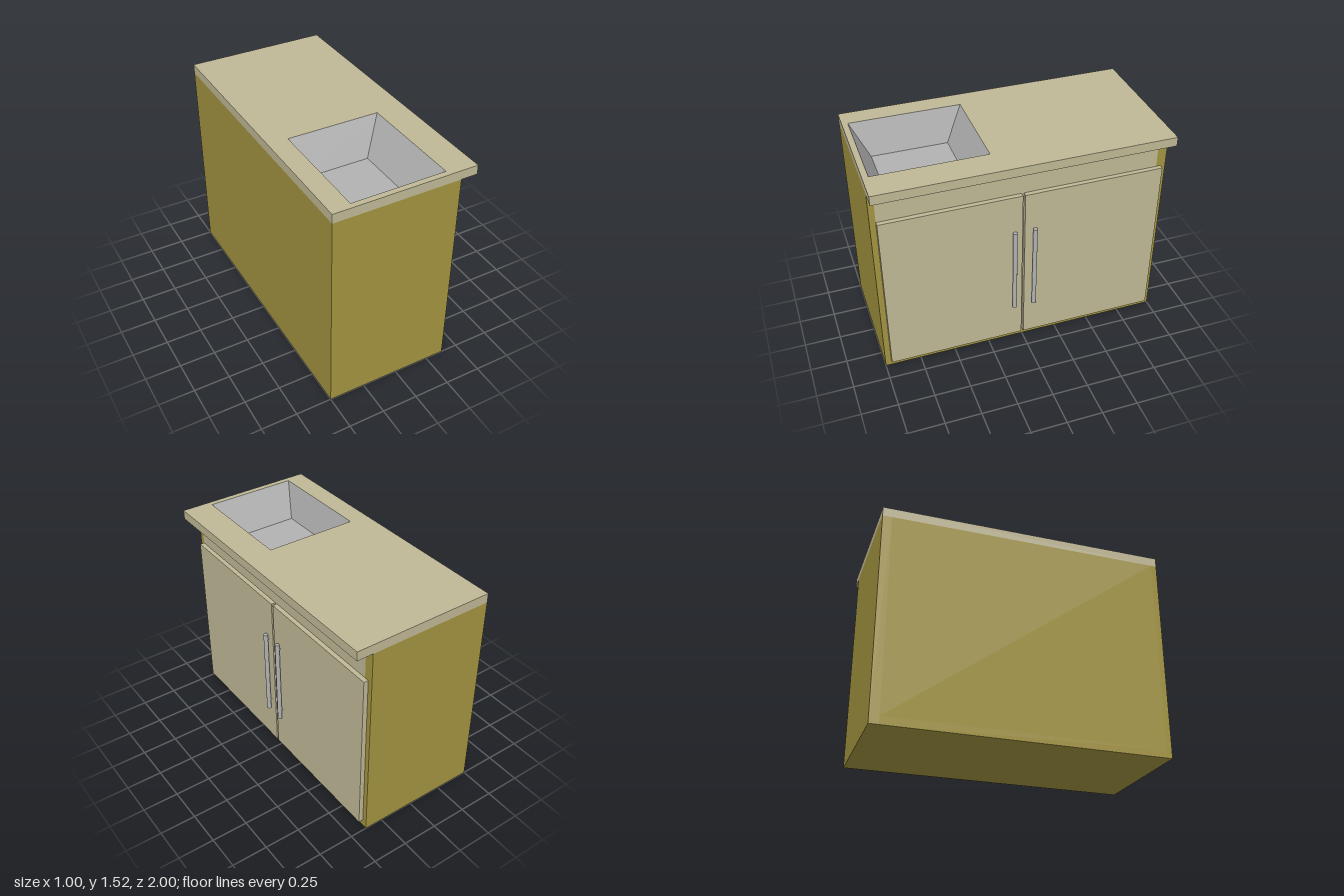
import * as THREE from 'three';

const olive = new THREE.MeshStandardMaterial({ color: 0xa39440 });
const beige = new THREE.MeshStandardMaterial({ color: 0xc0b896 });
const steel = new THREE.MeshStandardMaterial({ color: 0xb2b2b2 });
const basinSteel = new THREE.MeshStandardMaterial({ color: 0xb2b2b2, side: THREE.DoubleSide });

// Box given by its extents on each axis
function box(name, material, [x0, x1], [y0, y1], [z0, z1]) {
  const mesh = new THREE.Mesh(new THREE.BoxGeometry(x1 - x0, y1 - y0, z1 - z0), material);
  mesh.position.set((x0 + x1) / 2, (y0 + y1) / 2, (z0 + z1) / 2);
  mesh.name = name;
  return mesh;
}

// Countertop slab with a rectangular opening
function countertop(opening) {
  const rect = (path, x0, x1, z0, z1) =>
    path.moveTo(x0, -z0).lineTo(x1, -z0).lineTo(x1, -z1).lineTo(x0, -z1).closePath();
  const shape = rect(new THREE.Shape(), -0.5, 0.495, -1, 1);
  shape.holes.push(rect(new THREE.Path(), ...opening));
  const geometry = new THREE.ExtrudeGeometry(shape, { depth: 0.065, bevelEnabled: false });
  geometry.rotateX(-Math.PI / 2);
  const mesh = new THREE.Mesh(geometry, beige);
  mesh.position.y = 1.455;
  mesh.name = 'countertop';
  return mesh;
}

// Tapered basin: four sloping walls and a floor
function sinkBasin(rim, floor, yRim, yFloor) {
  const ring = ([x0, x1, z0, z1], y) => [[x0, y, z0], [x0, y, z1], [x1, y, z1], [x1, y, z0]];
  const top = ring(rim, yRim), low = ring(floor, yFloor);
  const positions = [];
  const quad = (a, b, c, d) => positions.push(...a, ...b, ...c, ...a, ...c, ...d);
  for (let i = 0; i < 4; i++) {
    const j = (i + 1) % 4;
    quad(top[i], low[i], low[j], top[j]);
  }
  quad(...low);
  const geometry = new THREE.BufferGeometry();
  geometry.setAttribute('position', new THREE.Float32BufferAttribute(positions, 3));
  geometry.computeVertexNormals();
  const mesh = new THREE.Mesh(geometry, basinSteel);
  mesh.name = 'sinkBasin';
  return mesh;
}

// Upright bar on two short posts
function doorHandle(name, z) {
  const handle = new THREE.Group();
  handle.name = name;
  const bar = new THREE.Mesh(new THREE.CylinderGeometry(0.015, 0.015, 0.645, 24), steel);
  bar.position.set(0.432, 0.6475, z);
  bar.name = 'handleBar';
  handle.add(bar);
  for (const y of [0.395, 0.93]) {
    const post = new THREE.Mesh(new THREE.CylinderGeometry(0.009, 0.009, 0.022, 16), steel);
    post.rotation.z = Math.PI / 2;
    post.position.set(0.421, y, z);
    post.name = 'handlePost';
    handle.add(post);
  }
  return handle;
}

export function createModel() {
  const model = new THREE.Group();
  model.name = 'sinkCabinet';

  // Carcass panels, open at the top below the counter
  const depth = [-0.5, 0.38], height = [0, 1.455], inner = [-0.935, 0.96];
  model.add(
    box('sidePanelNear', olive, depth, height, [0.96, 1]),
    box('sidePanelFar', olive, depth, height, [-1, -0.935]),
    box('basePanel', olive, depth, [0, 0.055], inner),
    box('rearPanel', olive, [-0.5, -0.46], [0.055, 1.455], inner),
    box('facePanel', beige, [0.34, 0.38], [0.055, 1.455], inner)
  );

  // Doors and handles
  const doorX = [0.38, 0.412], doorY = [0.05, 1.24];
  model.add(
    box('doorNear', beige, doorX, doorY, [0.016, 0.96]),
    box('doorFar', beige, doorX, doorY, [-0.965, 0]),
    doorHandle('handleNear', 0.074),
    doorHandle('handleFar', -0.066)
  );

  // Counter and sink
  const opening = [-0.36, 0.29, 0.195, 0.96];
  model.add(
    countertop(opening),
    sinkBasin(opening, [-0.3, 0.155, 0.31, 0.84], 1.52, 1.275)
  );
  return model;
}
